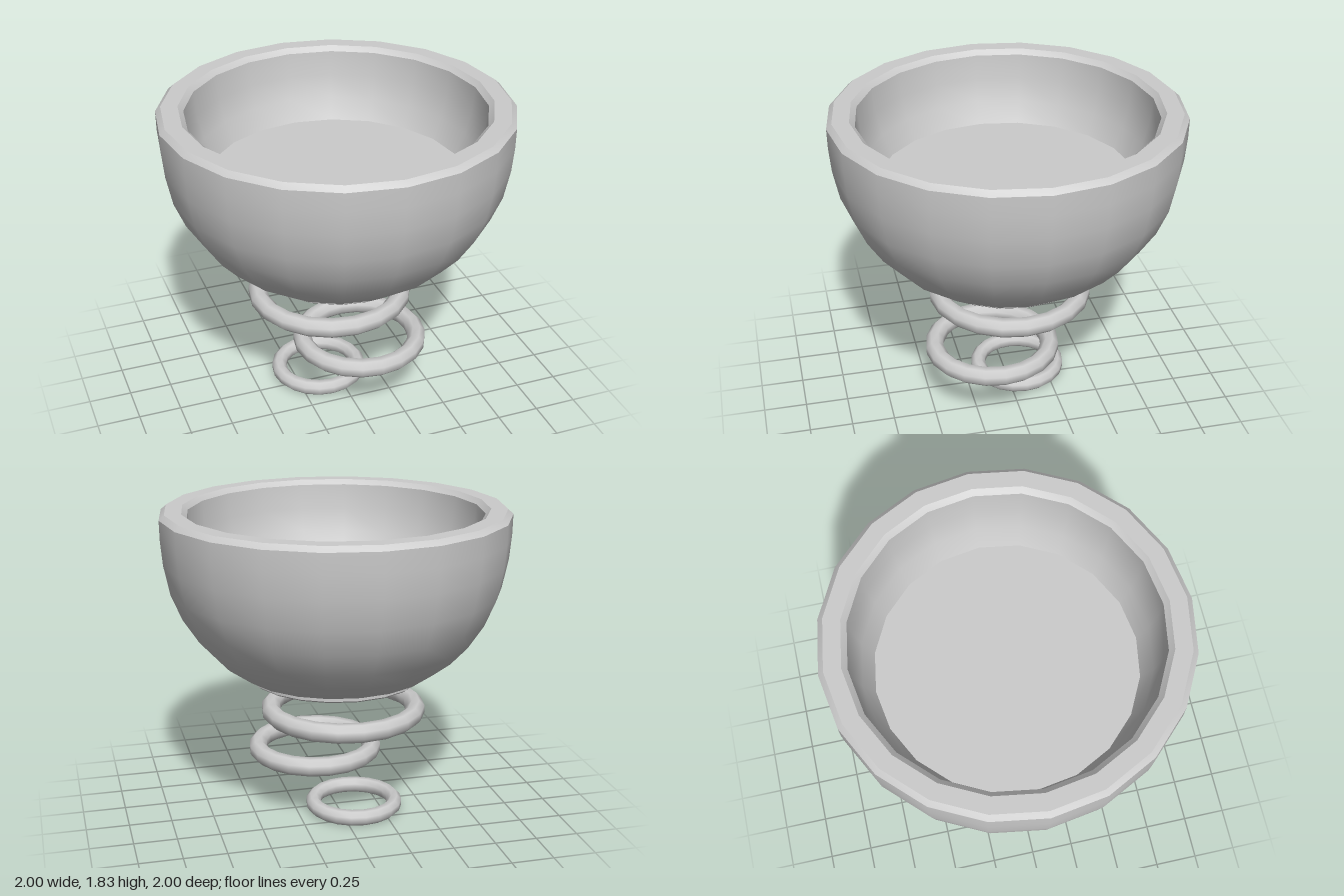
import * as THREE from 'three';
import { toCreasedNormals } from 'three/addons/utils/BufferGeometryUtils.js';

const SIDES = 20;
const material = new THREE.MeshStandardMaterial({ color: 0xcccccc });

// Turned part from [radius, height] pairs, smooth except at edges sharper than `crease`
function turned(name, pairs, crease) {
  const points = pairs.map(([r, y]) => new THREE.Vector2(r, y));
  const geometry = toCreasedNormals(new THREE.LatheGeometry(points, SIDES), crease);
  const mesh = new THREE.Mesh(geometry, material);
  mesh.name = name;
  return mesh;
}

// Ring with an eight-sided, flat-topped tube
function ring(name, x, y, z, outerRadius, half) {
  const r = half / Math.cos(Math.PI / 8);
  const section = [];
  for (let i = 0; i <= 8; i++) {
    const a = (i + 0.5) * Math.PI / 4;
    section.push([outerRadius - half + r * Math.cos(a), r * Math.sin(a)]);
  }
  const mesh = turned(name, section, Math.PI / 3);
  mesh.position.set(x, y, z);
  return mesh;
}

export function createModel() {
  const model = new THREE.Group();
  model.name = 'bowlWithRings';

  // Bowl: recessed foot, rounded outside, chamfered rim, inner wall and floor
  model.add(turned('bowl', [
    [0, 0.88], [0.44, 0.88], [0.455, 0.835],
    [0.5, 0.835], [0.512, 0.845], [0.512, 0.88],
    [0.56, 0.88], [0.7, 0.98], [0.8, 1.09], [0.89, 1.23],
    [0.952, 1.38], [0.986, 1.55], [0.998, 1.69], [1, 1.805],
    [0.97, 1.833], [0.875, 1.833], [0.845, 1.805],
    [0.832, 1.66], [0.795, 1.52], [0.735, 1.4], [0, 1.4],
  ], Math.PI / 6));

  // Loose rings floating below the foot
  model.add(ring('upperRing', -0.04, 0.63, -0.02, 0.483, 0.053));
  model.add(ring('middleRing', 0.1, 0.348, 0.12, 0.398, 0.052));
  model.add(ring('lowerRing', -0.093, 0.043, -0.08, 0.287, 0.043));

  return model;
}
